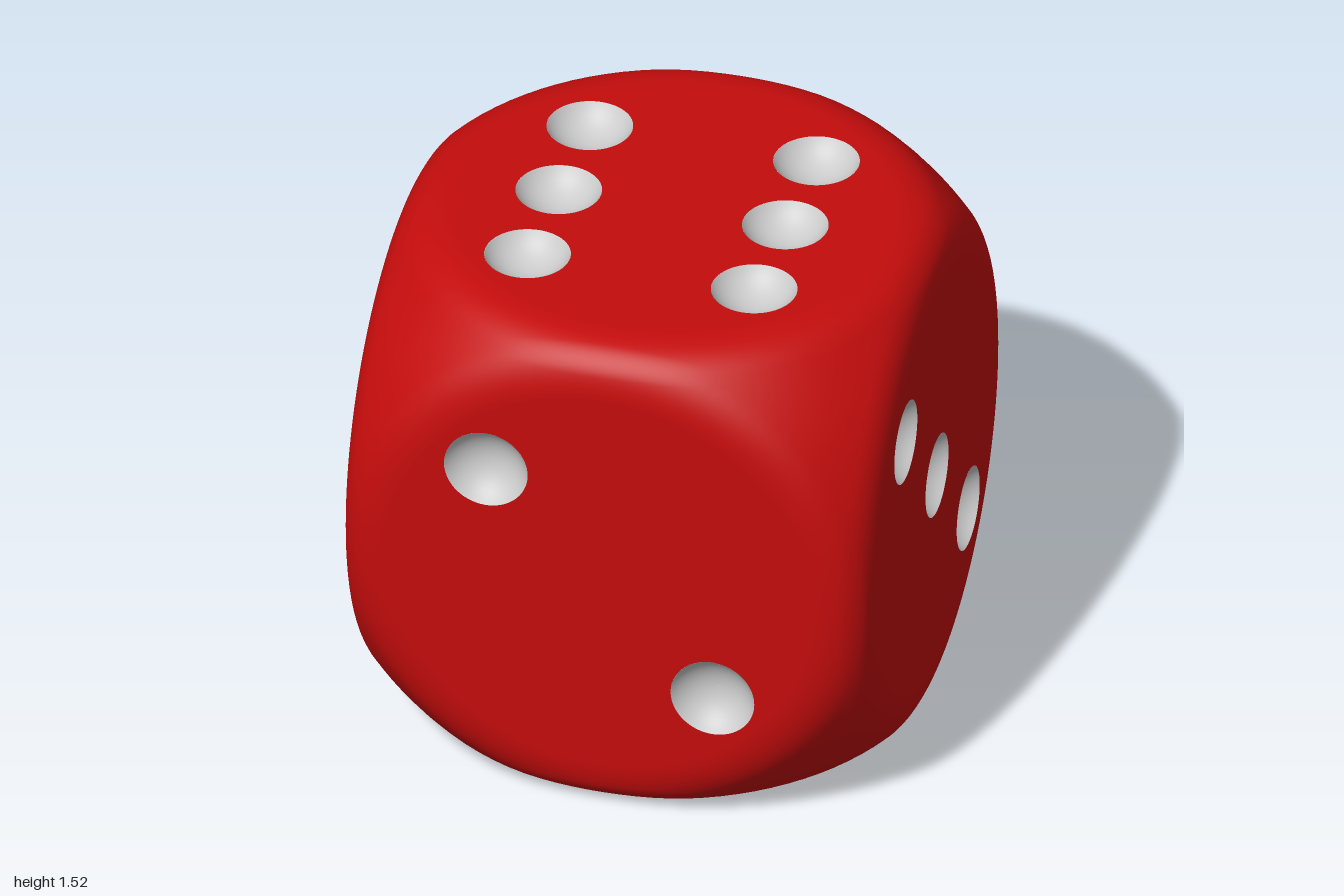
import * as THREE from 'three';

const H = 0.76;      // half side of the cube
const EDGE = 0.08;   // edge rounding
const BALL = 1.03;   // sphere that trims the corners
const BLEND = 0.06;  // softness where sphere and cube meet
const DISC = 0.6;    // flat middle of each face
const PIP = 0.12, DEPTH = 0.07, STEP = 0.325;
const SEG = 96, RINGS = 28;

// Signed distance of a rounded cube blended with a sphere
function field(p) {
  const q = [p.x, p.y, p.z].map((c) => Math.abs(c) - (H - EDGE));
  const box = Math.hypot(...q.map((c) => Math.max(c, 0))) + Math.min(Math.max(...q), 0) - EDGE;
  const ball = p.length() - BALL;
  const k = Math.max(BLEND - Math.abs(box - ball), 0) / BLEND;
  return Math.max(box, ball) + k * k * BLEND / 4;
}

// Push a direction out to the surface
function project(dir) {
  let lo = 0.3, hi = 1.3;
  const p = new THREE.Vector3();
  for (let i = 0; i < 36; i++) {
    const mid = (lo + hi) / 2;
    if (field(p.copy(dir).multiplyScalar(mid)) < 0) lo = mid; else hi = mid;
  }
  return p;
}

function normalAt(p) {
  const e = 1e-4, n = new THREE.Vector3();
  for (const axis of ['x', 'y', 'z']) {
    const a = p.clone(), b = p.clone();
    a[axis] += e;
    b[axis] -= e;
    n[axis] = field(a) - field(b);
  }
  return n.normalize();
}

// Curved border from the flat disc out to the cube edges
function borderGeometry() {
  const pos = [], nor = [], idx = [];
  for (let i = 0; i <= RINGS; i++) {
    for (let j = 0; j <= SEG; j++) {
      const a = (j / SEG) * Math.PI * 2, c = Math.cos(a), s = Math.sin(a);
      const outer = 1 / Math.max(Math.abs(c), Math.abs(s));
      const r = THREE.MathUtils.lerp(DISC / H, outer, i / RINGS);
      const p = project(new THREE.Vector3(c * r, s * r, 1).normalize());
      pos.push(p.x, p.y, p.z);
      nor.push(...normalAt(p).toArray());
      if (i < RINGS && j < SEG) {
        const k = i * (SEG + 1) + j, m = k + SEG + 1;
        idx.push(k, m, k + 1, k + 1, m, m + 1);
      }
    }
  }
  const g = new THREE.BufferGeometry();
  g.setAttribute('position', new THREE.Float32BufferAttribute(pos, 3));
  g.setAttribute('normal', new THREE.Float32BufferAttribute(nor, 3));
  g.setIndex(idx);
  return g;
}

// Flat disc with a round hole for every pip
function discGeometry(spots) {
  const shape = new THREE.Shape().absarc(0, 0, DISC, 0, Math.PI * 2);
  for (const [x, y] of spots) {
    shape.holes.push(new THREE.Path().absarc(x, y, PIP, 0, Math.PI * 2, true));
  }
  return new THREE.ShapeGeometry(shape, SEG / 2).translate(0, 0, H);
}

// Hollow spherical bowl, opening towards +z
function pipGeometry() {
  const R = (PIP * PIP + DEPTH * DEPTH) / (2 * DEPTH);
  const top = Math.asin(PIP / R), pts = [];
  for (let i = 0; i <= 10; i++) {
    const a = top * (1 - i / 10);
    pts.push(new THREE.Vector2(R * Math.sin(a), R - DEPTH - R * Math.cos(a)));
  }
  return new THREE.LatheGeometry(pts, SEG / 2).rotateX(Math.PI / 2);
}

export function createModel() {
  const model = new THREE.Group();
  model.name = 'die';
  const red = new THREE.MeshStandardMaterial({ color: 0xc40c0c });
  const grey = new THREE.MeshStandardMaterial({ color: 0xcccccc, side: THREE.DoubleSide });

  // Pip layouts
  const d = STEP;
  const two = [[-d, d], [d, -d]];
  const four = [...two, [d, d], [-d, -d]];
  const q = Math.PI / 2;
  const faces = [
    { name: 'bottomFaceOne', rot: [q, 0], spots: [[0, 0]] },
    { name: 'frontFaceTwo', rot: [0, 0], spots: two },
    { name: 'leftFaceThree', rot: [0, q], spots: [...two, [0, 0]] },
    { name: 'rightFaceFour', rot: [0, -q], spots: four },
    { name: 'backFaceFive', rot: [0, 2 * q], spots: [...four, [0, 0]] },
    { name: 'topFaceSix', rot: [-q, 0], spots: [...four, [d, 0], [-d, 0]] },
  ];

  const border = borderGeometry(), bowl = pipGeometry();
  for (const { name, rot, spots } of faces) {
    const face = new THREE.Group();
    face.name = name;
    face.rotation.set(rot[0], rot[1], 0);
    const add = (part, geometry, material) => {
      const mesh = new THREE.Mesh(geometry, material);
      mesh.name = part;
      face.add(mesh);
      return mesh;
    };
    add('roundedBorder', border, red);
    add('flatFace', discGeometry(spots), red);
    for (const [x, y] of spots) add('pip', bowl, grey).position.set(x, y, H);
    model.add(face);
  }

  // Turned on its base
  model.rotation.y = -Math.PI / 6;
  model.position.y = H;
  const root = new THREE.Group();
  root.name = 'dice';
  root.add(model);
  return root;
}
